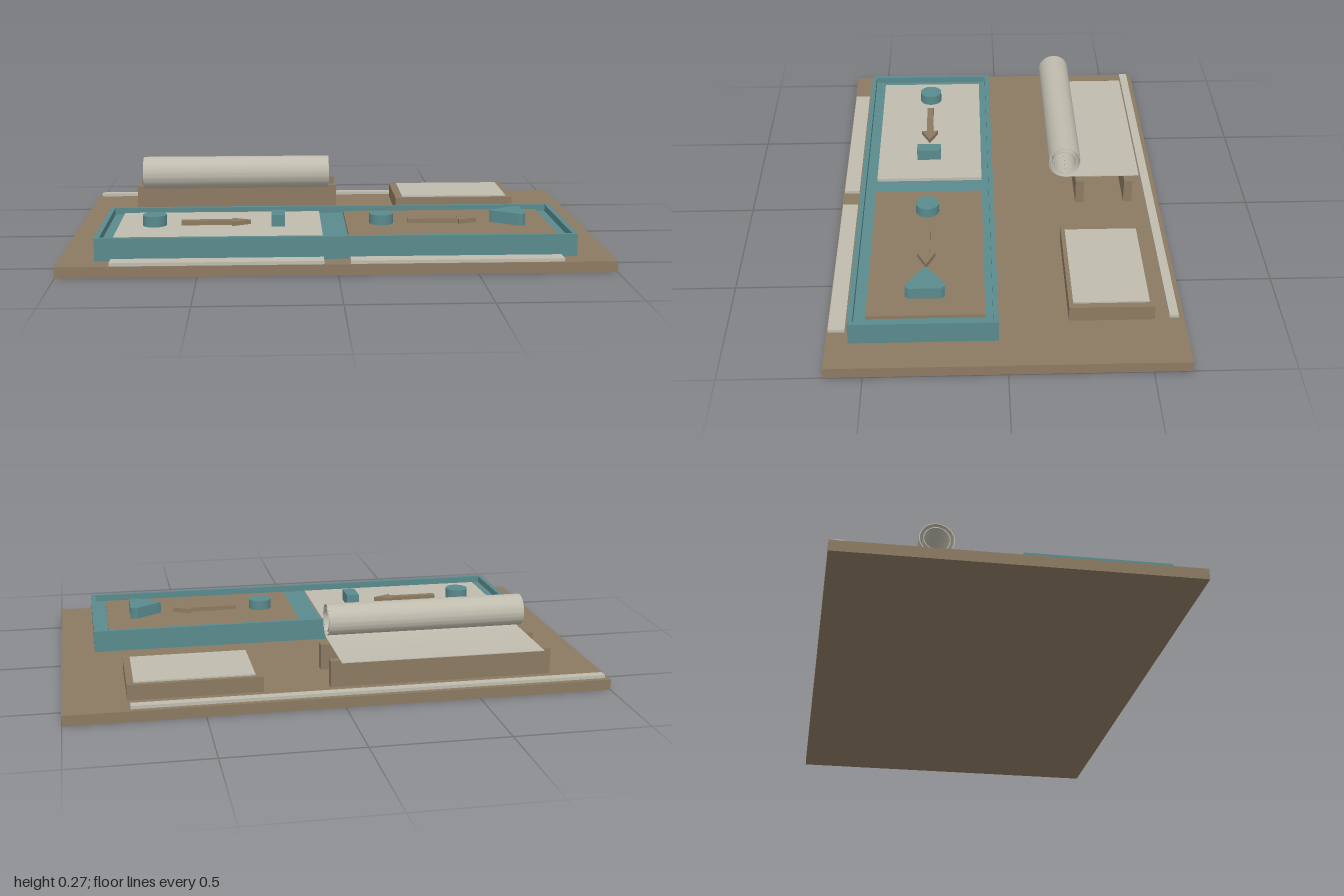
import * as THREE from 'three';
import { toCreasedNormals } from 'three/addons/utils/BufferGeometryUtils.js';

function material(name, color) {
  const m = new THREE.MeshStandardMaterial({ color });
  m.name = name;
  return m;
}

export function createModel() {
  const brown = material('brown', 0x8c7a62);
  const teal = material('teal', 0x5a8a8d);
  const cream = material('cream', 0xbfbcae);
  const model = new THREE.Group();
  model.name = 'gameBoard';

  const add = (name, geometry, mat) => {
    const mesh = new THREE.Mesh(geometry, mat);
    mesh.name = name;
    model.add(mesh);
    return mesh;
  };
  // box given by its limits on each axis
  const box = (name, mat, x0, x1, y0, y1, z0, z1) =>
    add(name, new THREE.BoxGeometry(x1 - x0, y1 - y0, z1 - z0), mat)
      .position.set((x0 + x1) / 2, (y0 + y1) / 2, (z0 + z1) / 2);
  const outline = (points, Type = THREE.Shape) =>
    new Type(points.map(([x, z]) => new THREE.Vector2(x, -z)));
  // upright prism over an outline in x and z
  const prism = (name, mat, shape, y0, y1) => {
    const g = new THREE.ExtrudeGeometry(shape, { depth: y1 - y0, bevelEnabled: false });
    g.rotateX(-Math.PI / 2).translate(0, y0, 0);
    return add(name, g, mat);
  };
  const rect = (x0, x1, z0, z1) => [[x0, z0], [x0, z1], [x1, z1], [x1, z0]];

  box('base', brown, -1, 1, 0, 0.04, -0.635, 0.635);

  // tray with raised rim and two panels
  const rim = outline(rect(-0.87, 0.87, 0.03, 0.555));
  rim.holes.push(outline(rect(-0.852, 0.852, 0.048, 0.537), THREE.Path));
  prism('trayRim', teal, rim, 0.04, 0.123);
  box('trayFloor', teal, -0.853, 0.853, 0.04, 0.097, 0.047, 0.538);
  const panelTop = 0.11;
  box('rightPanel', cream, -0.81, -0.05, 0.09, panelTop, 0.075, 0.495);
  box('leftPanel', brown, 0.045, 0.81, 0.09, panelTop, 0.075, 0.495);

  // playing pieces and arrows
  for (const [x, top] of [[-0.675, 0.15], [0.178, 0.148]]) {
    const h = top - panelTop;
    add('roundPiece', new THREE.CylinderGeometry(0.045, 0.045, h, 40), teal)
      .position.set(x, panelTop + h / 2, 0.288);
  }
  box('blockPiece', teal, -0.237, -0.186, panelTop, 0.155, 0.24, 0.337);
  prism('wedgePiece', teal, outline([
    [0.59, 0.288], [0.6, 0.298], [0.69, 0.358], [0.705, 0.36], [0.717, 0.347],
    [0.717, 0.229], [0.705, 0.216], [0.69, 0.218], [0.6, 0.278],
  ]), panelTop, 0.155);
  for (const x of [-0.575, 0.28]) {
    prism('arrow', brown, outline([
      [x, 0.275], [x, 0.302], [x + 0.19, 0.302], [x + 0.19, 0.322],
      [x + 0.261, 0.288], [x + 0.19, 0.254], [x + 0.19, 0.275],
    ]), panelTop, 0.127);
  }

  // flat strips along the front and back
  box('frontStrip', cream, -0.81, -0.05, 0.04, 0.052, 0.57, 0.63);
  box('frontStrip', cream, 0.045, 0.81, 0.04, 0.052, 0.57, 0.63);
  box('backStrip', cream, -0.985, 0.762, 0.04, 0.052, -0.615, -0.582);

  // small block with a top plate
  box('block', brown, 0.28, 0.77, 0.04, 0.098, -0.528, -0.222);
  box('blockPlate', cream, 0.308, 0.745, 0.098, 0.104, -0.51, -0.237);

  // rails carrying the rolled sheet
  for (const z of [-0.3, -0.493]) {
    box('rail', brown, -0.8, 0.035, 0.04, 0.139, z - 0.033, z);
  }

  // sheet cross-section: a flat run, then a two-turn spiral
  const cz = -0.26, cy = 0.21, half = 0.0015, steps = 112;
  const outer = [[-0.555, cy - 0.069 - half]], inner = [[-0.555, cy - 0.069 + half]];
  for (let i = 0; i <= steps; i++) {
    const t = i / steps, a = -Math.PI / 2 + t * Math.PI * 4;
    const r = 0.069 - 0.03 * t;
    outer.push([cz + Math.cos(a) * (r + half), cy + Math.sin(a) * (r + half)]);
    inner.push([cz + Math.cos(a) * (r - half), cy + Math.sin(a) * (r - half)]);
  }
  const section = new THREE.Shape(
    [...outer, ...inner.reverse()].map(([z, y]) => new THREE.Vector2(z, y)));
  const sheet = new THREE.ExtrudeGeometry(section, { depth: 0.765, bevelEnabled: false });
  sheet.rotateY(-Math.PI / 2);
  add('rolledSheet', toCreasedNormals(sheet, 0.6), cream);

  return model;
}
